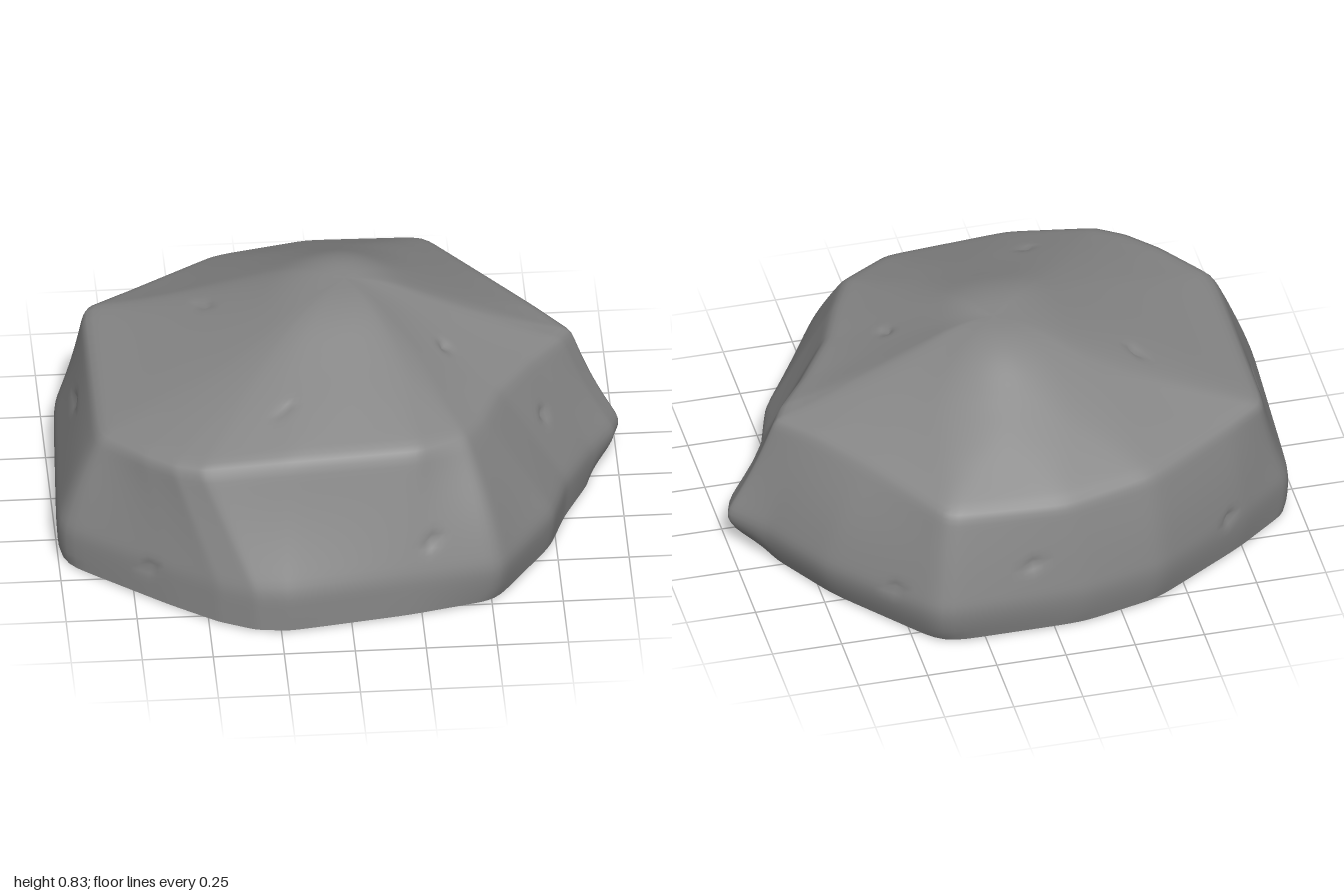
import * as THREE from 'three';

// Corner columns around the boulder:
// [widest x, widest z, base scale, shoulder x, shoulder y, shoulder z, side bulge]
const columns = [
  [-0.965, -0.38, 0.99, -0.86, 0.53, -0.41, -0.01],
  [-0.75, -0.56, 0.98, -0.69, 0.52, -0.52, 0.01],
  [-0.40, -0.79, 0.97, -0.38, 0.51, -0.72, 0.01],
  [-0.10, -0.865, 0.97, -0.05, 0.50, -0.80, 0.005],
  [0.42, -0.875, 0.96, 0.37, 0.51, -0.78, 0.005],
  [0.75, -0.50, 0.95, 0.58, 0.55, -0.46, 0.02],
  [0.90, -0.25, 0.95, 0.73, 0.56, -0.26, 0.01],
  [1.015, -0.12, 0.89, 0.84, 0.55, -0.13, -0.015],
  [0.99, -0.05, 0.92, 0.80, 0.56, -0.06, -0.015],
  [0.90, 0.07, 0.98, 0.69, 0.57, 0.07, 0],
  [0.80, 0.25, 0.99, 0.56, 0.58, 0.26, 0],
  [0.74, 0.44, 0.98, 0.49, 0.58, 0.43, 0],
  [0.53, 0.76, 0.97, 0.42, 0.59, 0.56, 0.03],
  [0.20, 0.81, 1.0, 0.25, 0.60, 0.65, 0],
  [-0.22, 0.875, 1.0, -0.20, 0.60, 0.685, -0.015],
  [-0.34, 0.86, 1.0, -0.52, 0.57, 0.67, -0.005],
  [-0.47, 0.80, 1.0, -0.62, 0.56, 0.62, 0],
  [-0.64, 0.68, 1.0, -0.72, 0.55, 0.53, 0],
  [-1.01, 0.40, 0.99, -0.86, 0.53, 0.36, 0.01],
];

// Small weathering pits: [x, y, z]
const pits = [
  [-0.69, 0.13, 0.64], [0.29, 0.29, 0.76], [0.72, 0.40, 0.16], [-0.21, 0.68, 0.47],
  [0.40, 0.69, 0.13], [0.56, 0.17, -0.71], [-0.91, 0.37, -0.10], [-0.46, 0.66, -0.20],
  [0.10, 0.30, -0.85], [-0.68, 0.17, -0.60],
];

const SEG = 12, LOWER = 6, SIDE = 18, CROWN = 30;
const AROUND = columns.length * SEG, ROWS = LOWER + SIDE + CROWN;
const apex = new THREE.Vector3(0.04, 0.833, -0.09);
const { lerp, smoothstep } = THREE.MathUtils;

function surfacePoint(c, row) {
  const [x, z, base, sx, sy, sz, bulge] = c;
  // Undercut foot
  if (row <= LOWER) {
    const t = row / LOWER, k = lerp(base, 1, Math.sin(t * Math.PI / 2));
    return new THREE.Vector3(x * k, lerp(0.01, 0.16, t), z * k);
  }
  // Sloping flank
  if (row <= LOWER + SIDE) {
    const t = (row - LOWER) / SIDE, k = 1 + bulge * Math.sin(t * Math.PI);
    return new THREE.Vector3(lerp(x, sx, t) * k, lerp(0.16, sy, t), lerp(z, sz, t) * k);
  }
  // Crown: slopes that level off at the top, hollower towards the sides
  const t = (row - LOWER - SIDE) / CROWN;
  const sideways = sx * sx / (sx * sx + sz * sz);
  const s = Math.min(1.2, lerp(1.32, 1.2, sideways) * Math.pow(t, lerp(0.97, 1.25, sideways)));
  const h = s - Math.max(0, s - 0.8) ** 2 / 0.8;
  return new THREE.Vector3(lerp(sx, apex.x, t), lerp(sy, apex.y, h), lerp(sz, apex.z, t));
}

// Average each crown ring along itself, wider towards the top, so the dome has no spokes
function roundCrown(ring, r) {
  const t = (r - LOWER - SIDE) / CROWN;
  const reach = Math.round(13 * smoothstep(t, 0, 0.7));
  if (reach === 0) return ring;
  return ring.map((_, i) => {
    const sum = new THREE.Vector3();
    for (let k = -reach; k <= reach; k++) sum.add(ring[(i + k + AROUND) % AROUND]);
    return sum.divideScalar(2 * reach + 1);
  });
}

// Soften the facet edges; the base rim only softens along itself
function soften(grid) {
  return grid.map((ring, r) => ring.map((p, i) => {
    if (r === ROWS) return p;
    const sum = p.clone().multiplyScalar(2)
      .add(ring[(i + 1) % AROUND]).add(ring[(i + AROUND - 1) % AROUND]);
    if (r === 0) return sum.divideScalar(4);
    return sum.addScaledVector(p, 2).add(grid[r - 1][i]).add(grid[r + 1][i]).divideScalar(8);
  }));
}

function makeShell() {
  let grid = [];
  for (let r = 0; r <= ROWS; r++) {
    const ring = [];
    for (let i = 0; i < AROUND; i++) {
      const c = Math.floor(i / SEG), t = (i % SEG) / SEG;
      const a = surfacePoint(columns[c], r);
      ring.push(a.lerp(surfacePoint(columns[(c + 1) % columns.length], r), t));
    }
    grid.push(roundCrown(ring, r));
  }
  for (let n = 0; n < 4; n++) grid = soften(grid);

  // Press each pit into the nearest spot of the surface
  const points = grid.flat(), inner = new THREE.Vector3(0, 0.3, 0);
  for (const pit of pits) {
    const target = new THREE.Vector3(...pit);
    const centre = points.reduce((b, p) =>
      p.distanceToSquared(target) < b.distanceToSquared(target) ? p : b).clone();
    const inward = inner.clone().sub(centre).normalize();
    for (const p of points) {
      const d = p.distanceTo(centre) / 0.03;
      if (d < 2) p.addScaledVector(inward, 0.018 * Math.exp(-d * d * 2));
    }
  }

  const index = [];
  for (let r = 0; r < ROWS; r++) {
    for (let i = 0; i < AROUND; i++) {
      const j = (i + 1) % AROUND;
      const a = r * AROUND + i, b = r * AROUND + j, c = a + AROUND, d = b + AROUND;
      index.push(a, c, b);
      if (r < ROWS - 1) index.push(b, c, d);
    }
  }
  const shell = new THREE.BufferGeometry().setFromPoints(points);
  shell.setIndex(index);
  shell.computeVertexNormals();
  // All apex vertices share one upward normal
  for (let i = 0; i < AROUND; i++) shell.attributes.normal.setXYZ(ROWS * AROUND + i, 0, 1, 0);
  return { shell, rim: grid[0] };
}

// Nearly flat underside as a fan
function makeUnderside(rim) {
  const geo = new THREE.BufferGeometry().setFromPoints([new THREE.Vector3(), ...rim]);
  const index = [];
  for (let i = 0; i < AROUND; i++) index.push(0, i + 1, (i + 1) % AROUND + 1);
  geo.setIndex(index);
  geo.computeVertexNormals();
  return geo;
}

export function createModel() {
  const group = new THREE.Group();
  group.name = 'boulder';
  const material = new THREE.MeshStandardMaterial({ color: 0x868686 });
  const { shell, rim } = makeShell();
  const body = new THREE.Mesh(shell, material);
  body.name = 'rockBody';
  const underside = new THREE.Mesh(makeUnderside(rim), material);
  underside.name = 'underside';
  group.add(body, underside);
  return group;
}
